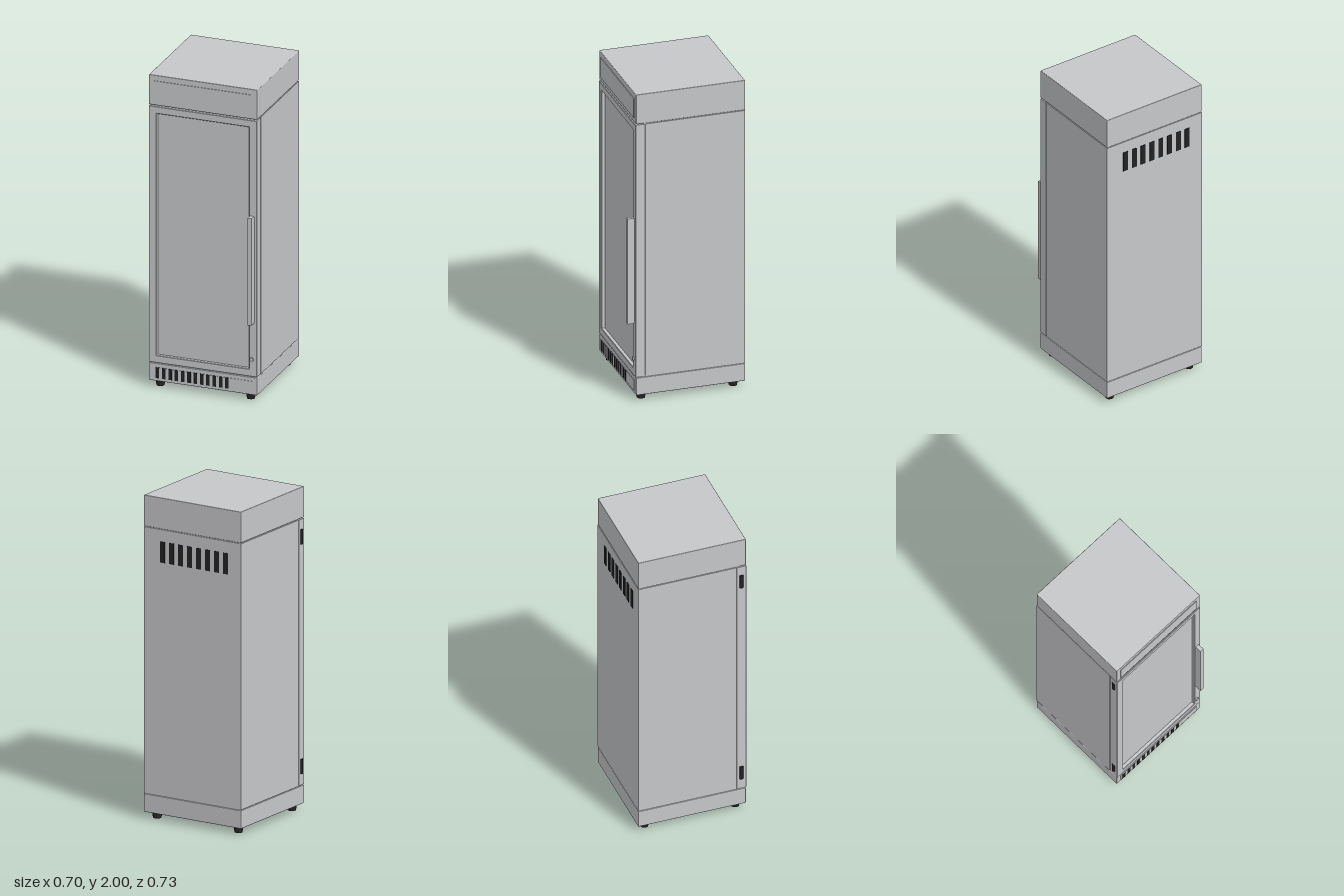
import * as THREE from 'three';
import { RoundedBoxGeometry } from 'three/addons/geometries/RoundedBoxGeometry.js';

export function createModel() {
  const model = new THREE.Group();
  model.name = 'uprightCabinet';
  const steel = new THREE.MeshStandardMaterial({ color: 0xc6c7c9 });
  steel.name = 'brushed steel grey';
  const black = new THREE.MeshStandardMaterial({ color: 0x222222 });
  black.name = 'black rubber';

  const add = (name, geometry, material, parent = model) => {
    const mesh = new THREE.Mesh(geometry, material);
    mesh.name = name;
    parent.add(mesh);
    return mesh;
  };
  // Box given by its lower and upper limits on each axis
  const block = (name, [x0, x1], [y0, y1], [z0, z1], material = steel, radius = 0, parent = model) => {
    const size = [x1 - x0, y1 - y0, z1 - z0];
    const geometry = radius
      ? new RoundedBoxGeometry(...size, 2, radius)
      : new THREE.BoxGeometry(...size);
    geometry.translate((x0 + x1) / 2, (y0 + y1) / 2, (z0 + z1) / 2);
    return add(name, geometry, material, parent);
  };
  const group = (name) => {
    const g = new THREE.Group();
    g.name = name;
    model.add(g);
    return g;
  };

  const L = -0.342, R = 0.35, back = -0.365, front = 0.319;

  // Cabinet shell, with an inset core behind the seams
  block('base', [L, R], [0.04, 0.153], [back, front], steel, 0.004);
  block('body', [L, R], [0.157, 1.803], [back, 0.256]);
  block('header', [L, R], [1.808, 2], [back, front], steel, 0.004);
  block('core', [L + 0.006, R - 0.006], [0.1, 1.9], [back + 0.006, 0.28]);

  // Thin trim plates on header and base
  block('headerPlate', [-0.31, 0.318], [1.836, 1.964], [front - 0.002, 0.323]);
  block('basePlate', [-0.31, 0.318], [0.058, 0.128], [front - 0.002, 0.322]);

  // Door frame with a bevelled opening and a recessed panel
  const b = 0.003;
  const rect = (P, x0, x1, y0, y1) => {
    const p = new P();
    p.moveTo(x0, y0);
    p.lineTo(x1, y0);
    p.lineTo(x1, y1);
    p.lineTo(x0, y1);
    p.closePath();
    return p;
  };
  const frame = rect(THREE.Shape, L + b, R - b, 0.158 + b, 1.802 - b);
  frame.holes.push(rect(THREE.Path, -0.292 - b, 0.3 + b, 0.206 - b, 1.756 + b));
  const frameGeometry = new THREE.ExtrudeGeometry(frame, {
    depth: 0.057, bevelEnabled: true, bevelThickness: b, bevelSize: b, bevelSegments: 1,
  });
  frameGeometry.translate(0, 0, 0.26 + b);
  const door = group('door');
  add('doorFrame', frameGeometry, steel, door);
  block('doorPanel', [-0.298, 0.306], [0.2, 1.762], [0.27, 0.301], steel, 0, door);

  // Handle bar on its mounting strip
  block('handleMount', [0.306, 0.335], [0.51, 1.183], [0.32, 0.329], steel, 0, door);
  block('handle', [0.308, 0.333], [0.503, 1.19], [0.327, 0.366], steel, 0, door);

  // Lock below the handle
  const lock = add('lock', new THREE.CylinderGeometry(0.012, 0.012, 0.014, 24), steel, door);
  lock.rotation.x = Math.PI / 2;
  lock.position.set(0.318, 0.27, 0.324);

  // Hinge barrels on the hinge side
  for (const y of [0.273, 1.694]) {
    add('hinge', new THREE.CylinderGeometry(0.0125, 0.0125, 0.092, 20), black, door)
      .position.set(-0.338, y, 0.291);
  }

  // Vent slots: twelve low at the front, eight high at the back
  const frontVents = group('frontVents');
  for (let i = 0; i < 12; i++) {
    const x = -0.286 + i * 0.0404;
    block('ventSlot', [x - 0.011, x + 0.011], [0.06, 0.128], [0.317, 0.324], black, 0, frontVents);
  }
  const backVents = group('backVents');
  for (let i = 0; i < 8; i++) {
    const x = -0.234 + i * 0.0643;
    block('ventSlot', [x - 0.017, x + 0.017], [1.6, 1.73], [back - 0.003, back + 0.003], black, 0, backVents);
  }

  // Four stepped feet
  const feet = group('feet');
  for (const x of [-0.287, 0.292]) {
    for (const z of [-0.308, 0.27]) {
      add('footCollar', new THREE.CylinderGeometry(0.028, 0.028, 0.03, 24), black, feet)
        .position.set(x, 0.027, z);
      add('footPad', new THREE.CylinderGeometry(0.025, 0.025, 0.014, 24), black, feet)
        .position.set(x, 0.007, z);
    }
  }
  return model;
}
